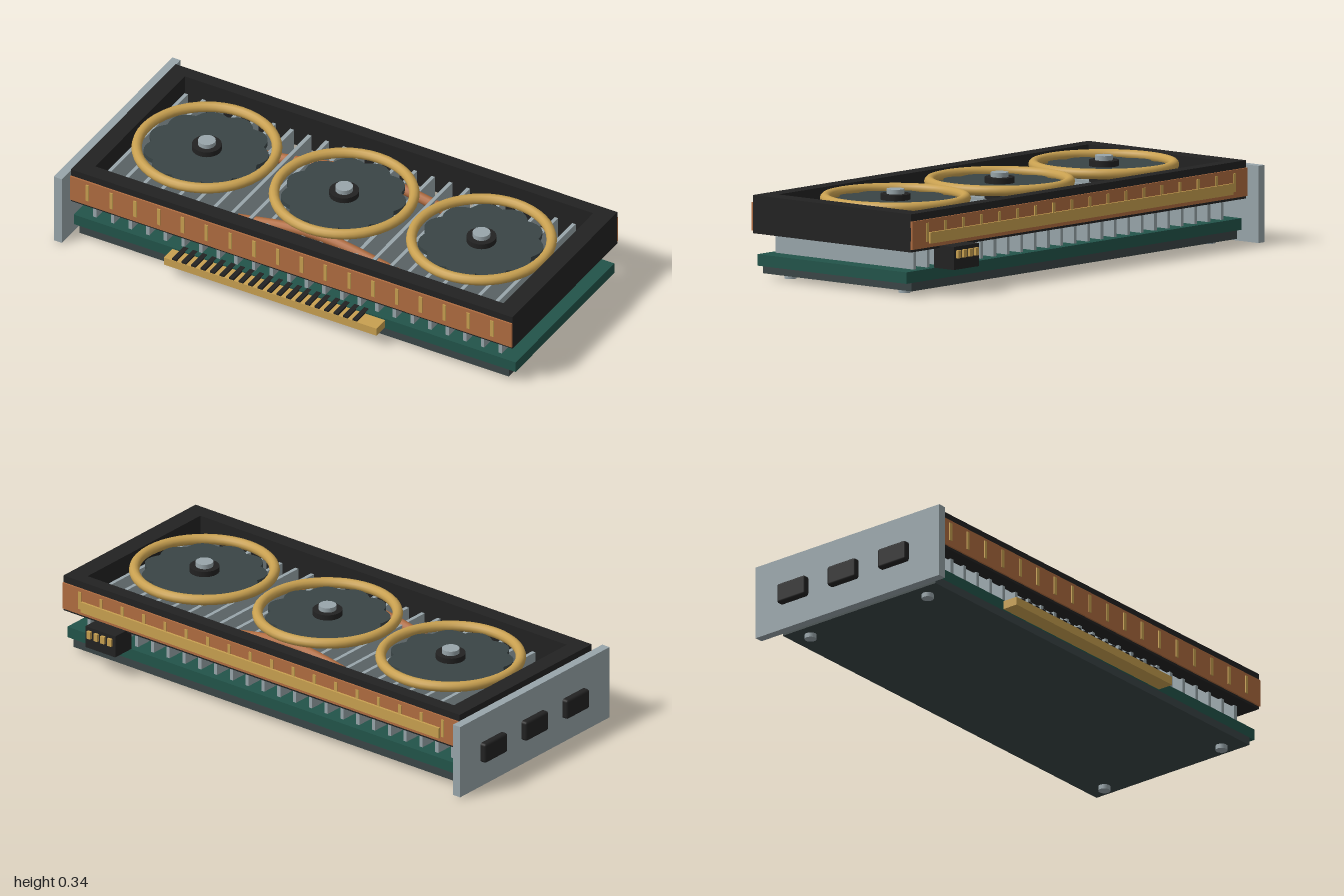
import * as THREE from 'three';
import { RoundedBoxGeometry } from 'three/addons/geometries/RoundedBoxGeometry.js';

const paint = (name, color) => {
  const m = new THREE.MeshStandardMaterial({ color });
  m.name = name;
  return m;
};

export function createModel() {
  const black = paint('black plastic', 0x222222);
  const dark = paint('dark slate', 0x3a4546);
  const green = paint('board green', 0x22544a);
  const copper = paint('copper', 0xb06c40);
  const gold = paint('gold', 0xc8a050);
  const steel = paint('steel', 0x98a5aa);

  const model = new THREE.Group();
  model.name = 'expansionCard';
  const CX = 0.035, CZ = 0.016;

  const add = (name, geometry, material, parent = model) => {
    const mesh = new THREE.Mesh(geometry, material);
    mesh.name = name;
    parent.add(mesh);
    return mesh;
  };
  // Box given by its limits on each axis
  const box = (name, material, x0, x1, y0, y1, z0, z1, parent) => {
    const mesh = add(name, new THREE.BoxGeometry(x1 - x0, y1 - y0, z1 - z0), material, parent);
    mesh.position.set((x0 + x1) / 2, (y0 + y1) / 2, (z0 + z1) / 2);
    return mesh;
  };
  const cylinder = (name, material, r, y0, y1, x, z, sides, parent) => {
    const mesh = add(name, new THREE.CylinderGeometry(r, r, y1 - y0, sides), material, parent);
    mesh.position.set(x, (y0 + y1) / 2, z);
    return mesh;
  };
  const group = (name) => {
    const g = new THREE.Group();
    g.name = name;
    model.add(g);
    return g;
  };

  // Circuit board, backplate and the four screws under it
  box('circuitBoard', green, -0.93, 1, 0.05, 0.094, -0.357, 0.39);
  box('backplate', dark, -0.905, 0.97, 0.018, 0.05, -0.357, 0.39);
  for (const x of [-0.845, 0.91])
    for (const z of [-0.27, 0.303]) cylinder('backplateScrew', steel, 0.023, 0, 0.018, x, z, 16);

  // Edge connector with dark gaps between its contacts
  const edge = group('edgeConnector');
  box('contactStrip', gold, -0.5, 0.43, 0.055, 0.088, 0.385, 0.455, edge);
  for (let i = 0; i < 20; i++) {
    const x = -0.455 + i * 0.0415;
    box('contactGap', black, x - 0.01, x + 0.01, 0.088, 0.0955, 0.365, 0.453, edge);
  }

  // Heatsink fins
  const fins = group('heatsinkFins');
  for (let i = 0; i < 24; i++) {
    const x = -0.853 + i * 0.077;
    box('fin', steel, x - 0.0075, x + 0.0075, 0.094, 0.24, -0.328, 0.365, fins);
  }

  // Heat pipes arching over the fins
  for (const z of [CZ - 0.218, CZ + 0.218]) {
    const path = new THREE.CatmullRomCurve3([
      new THREE.Vector3(CX - 0.775, 0.14, z),
      new THREE.Vector3(CX - 0.4, 0.19, z),
      new THREE.Vector3(CX, 0.25, z),
      new THREE.Vector3(CX + 0.4, 0.19, z),
      new THREE.Vector3(CX + 0.775, 0.14, z),
    ]);
    add('heatPipe', new THREE.TubeGeometry(path, 40, 0.021, 12), copper);
    for (const t of [0, 1]) {
      const cap = add('heatPipeEnd', new THREE.CircleGeometry(0.021, 12), copper);
      cap.position.copy(path.getPointAt(t));
      cap.rotation.y = t ? Math.PI / 2 : -Math.PI / 2;
    }
  }

  // Shroud frame, open at the top and bottom
  const shroud = group('shroud');
  box('shroudFrontRail', black, -0.93, 1, 0.172, 0.318, 0.35, 0.413, shroud);
  box('shroudBackRail', black, -0.93, 1, 0.172, 0.318, -0.38, -0.328, shroud);
  box('shroudRightWall', black, -0.93, -0.86, 0.172, 0.318, -0.328, 0.35, shroud);
  box('shroudLeftWall', black, 0.925, 1, 0.172, 0.318, -0.328, 0.35, shroud);

  // Copper side panels with gold ticks, and a long gold bar at the back
  const trim = group('sideTrim');
  box('frontPanel', copper, -0.93, 1, 0.182, 0.29, 0.412, 0.42, trim);
  box('backPanel', copper, -0.93, 1, 0.182, 0.29, -0.387, -0.379, trim);
  for (let i = 0; i < 18; i++) {
    const x = -0.853 + i * 0.104;
    box('frontTick', gold, x - 0.007, x + 0.007, 0.205, 0.277, 0.419, 0.424, trim);
    box('backTick', gold, x - 0.007, x + 0.007, 0.205, 0.277, -0.39, -0.386, trim);
  }
  box('backBar', gold, -0.84, 0.905, 0.197, 0.24, -0.396, -0.386, trim);

  // Scalloped blade disc shared by the three fans
  const lobes = 11;
  const outline = [];
  for (let i = 0; i < lobes * 8; i++) {
    const a = (i / (lobes * 8)) * Math.PI * 2;
    const r = 0.216 + 0.024 * Math.abs(Math.sin((a * lobes) / 2));
    outline.push(new THREE.Vector2(r * Math.cos(a), r * Math.sin(a)));
  }
  const discGeometry = new THREE.ExtrudeGeometry(new THREE.Shape(outline), { depth: 0.02, bevelEnabled: false });
  discGeometry.rotateX(-Math.PI / 2);
  const ringGeometry = new THREE.TorusGeometry(0.266, 0.02, 12, 48);
  ringGeometry.rotateX(Math.PI / 2);

  for (const x of [CX - 0.6, CX, CX + 0.6]) {
    const fan = group('fan');
    fan.position.set(x, 0, CZ);
    add('fanRing', ringGeometry, gold, fan).position.y = 0.305;
    add('fanBlades', discGeometry, dark, fan).position.y = 0.28;
    cylinder('fanHub', black, 0.057, 0.24, 0.322, 0, 0, 24, fan);
    cylinder('fanCap', steel, 0.034, 0.322, 0.34, 0, 0, 16, fan);
  }

  // Mounting bracket with three display ports
  box('mountingBracket', steel, -0.975, -0.94, 0.005, 0.3, -0.433, 0.465);
  for (const z of [-0.243, 0.003, 0.249]) {
    const port = add('displayPort', new RoundedBoxGeometry(0.05, 0.08, 0.136, 2, 0.01), black);
    port.position.set(-0.975, 0.147, z);
  }

  // Power socket with four pins at the back
  const power = group('powerSocket');
  box('socketBody', black, 0.69, 0.835, 0.094, 0.182, -0.452, -0.353, power);
  for (let i = 0; i < 4; i++) {
    const x = 0.712 + i * 0.0335;
    box('powerPin', gold, x - 0.009, x + 0.009, 0.138, 0.168, -0.463, -0.45, power);
  }

  return model;
}
